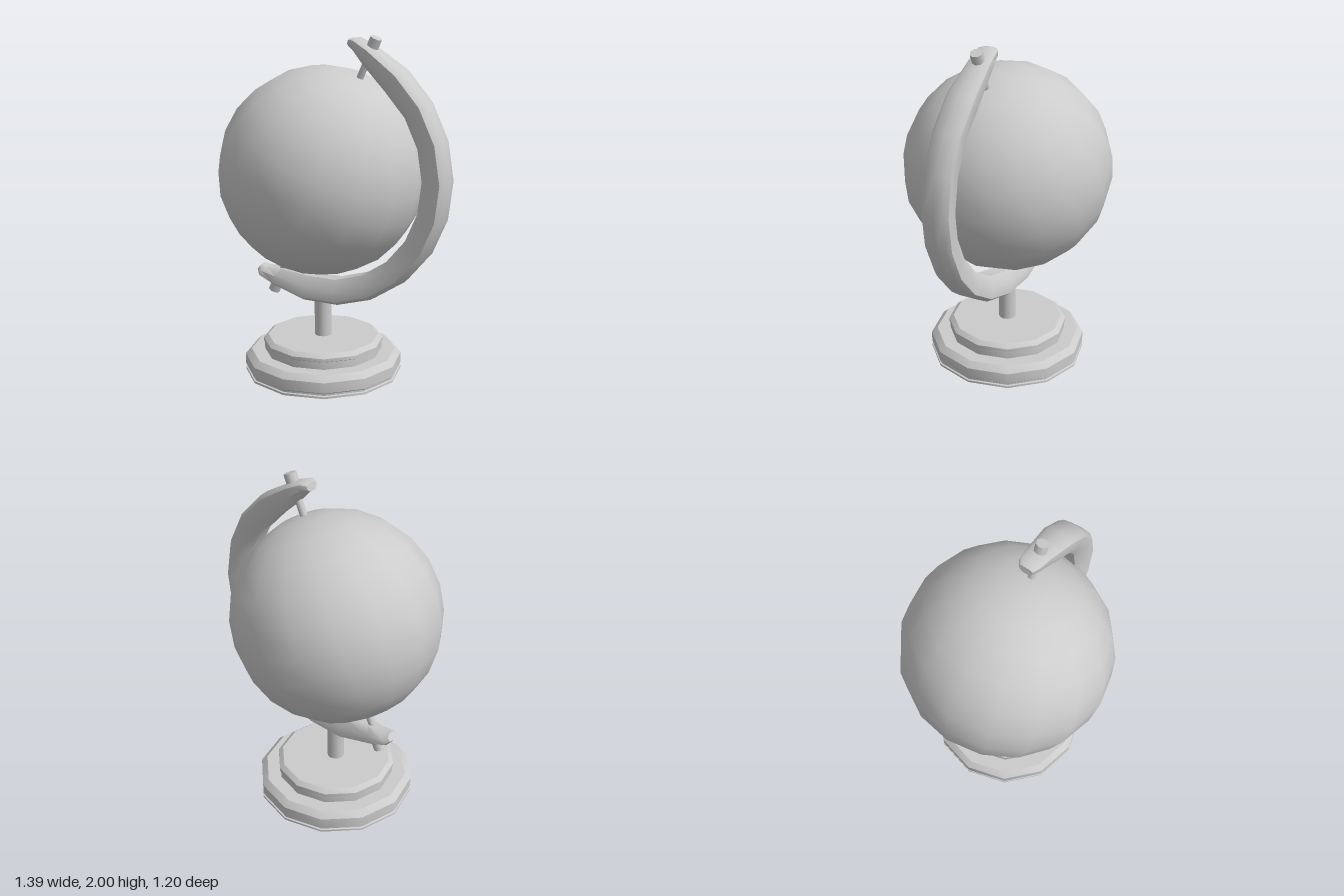
import * as THREE from 'three';
import { toCreasedNormals } from 'three/addons/utils/BufferGeometryUtils.js';

const grey = new THREE.MeshStandardMaterial({ color: 0xcccccc });

function add(parent, name, geometry, x = 0, y = 0, z = 0) {
  const mesh = new THREE.Mesh(geometry, grey);
  mesh.name = name;
  mesh.position.set(x, y, z);
  parent.add(mesh);
  return mesh;
}

// Turned part from [radius, height] pairs, 12 sides
function turned(pairs) {
  const points = pairs.map(([r, y]) => new THREE.Vector2(r, y));
  return toCreasedNormals(new THREE.LatheGeometry(points, 12), 0.7);
}

// Curved arm: a bevelled section swept around the globe, tapering at both ends
function armGeometry() {
  const outer = 0.79;
  const half = [[0.64, 0.04], [0.70, 0.085], [0.765, 0.085], [0.785, 0.06], [outer, 0]];
  const section = [...half, ...half.slice(0, 4).reverse().map(([r, z]) => [r, -z])];
  const n = section.length;

  // Each ring: angle in degrees, width scale, depth scale, outer radius
  const rings = [[-100, 0.45, 0.3, 0.785], [-97.5, 0.68, 0.45, 0.8], [-90, 0.78, 0.75, 0.793]];
  for (let i = 1; i < 11; i++) rings.push([-90 + (i * 180) / 11, 1, 1, outer]);
  rings.push(...rings.slice(0, 3).reverse().map(([a, ...rest]) => [-a, ...rest]));

  const position = [];
  const index = [];
  for (const [deg, width, depth, top] of rings) {
    const a = THREE.MathUtils.degToRad(deg);
    for (const [r, z] of section) {
      const radius = top - (outer - r) * depth;
      position.push(radius * Math.cos(a), radius * Math.sin(a), z * width);
    }
  }
  for (let i = 0; i < rings.length - 1; i++) {
    for (let j = 0; j < n; j++) {
      const a = i * n + j, b = i * n + ((j + 1) % n);
      index.push(a, b, b + n, a, b + n, a + n);
    }
  }
  // End caps
  const last = (rings.length - 1) * n;
  for (let j = 1; j < n - 1; j++) {
    index.push(0, j + 1, j, last, last + j, last + j + 1);
  }
  const geometry = new THREE.BufferGeometry();
  geometry.setAttribute('position', new THREE.Float32BufferAttribute(position, 3));
  geometry.setIndex(index);
  return toCreasedNormals(geometry, THREE.MathUtils.degToRad(50));
}

export function createModel() {
  const model = new THREE.Group();
  model.name = 'deskGlobe';
  const cx = -0.1;

  // Stepped base
  add(model, 'baseFoot', turned([[0, 0], [0.46, 0], [0.46, 0.012], [0.45, 0.015], [0.45, 0.03]]), cx);
  add(model, 'basePlinth', turned([
    [0, 0.025], [0.45, 0.025], [0.46, 0.033], [0.46, 0.095], [0.425, 0.128], [0, 0.128],
  ]), cx);
  add(model, 'baseStep', turned([
    [0.345, 0.125], [0.345, 0.172], [0.352, 0.176], [0.352, 0.195], [0.325, 0.217], [0, 0.217],
  ]), cx);

  // Post between base and arm
  add(model, 'post', new THREE.CylinderGeometry(0.05, 0.05, 0.29, 12), cx, 0.345);

  // Tilted globe with its axle and arm
  const tilted = new THREE.Group();
  tilted.name = 'tiltedGlobe';
  tilted.position.set(cx, 1.21, 0);
  tilted.rotation.z = THREE.MathUtils.degToRad(-23.5);
  model.add(tilted);

  add(tilted, 'globe', new THREE.SphereGeometry(0.6, 16, 12));
  add(tilted, 'arm', armGeometry());
  add(tilted, 'axle', new THREE.CylinderGeometry(0.021, 0.021, 1.6, 8));
  for (const side of [1, -1]) {
    const knob = new THREE.CylinderGeometry(0.036, 0.036, 0.08, 8);
    add(tilted, side > 0 ? 'topKnob' : 'bottomKnob', knob, 0, side * 0.803, 0);
  }
  return model;
}
